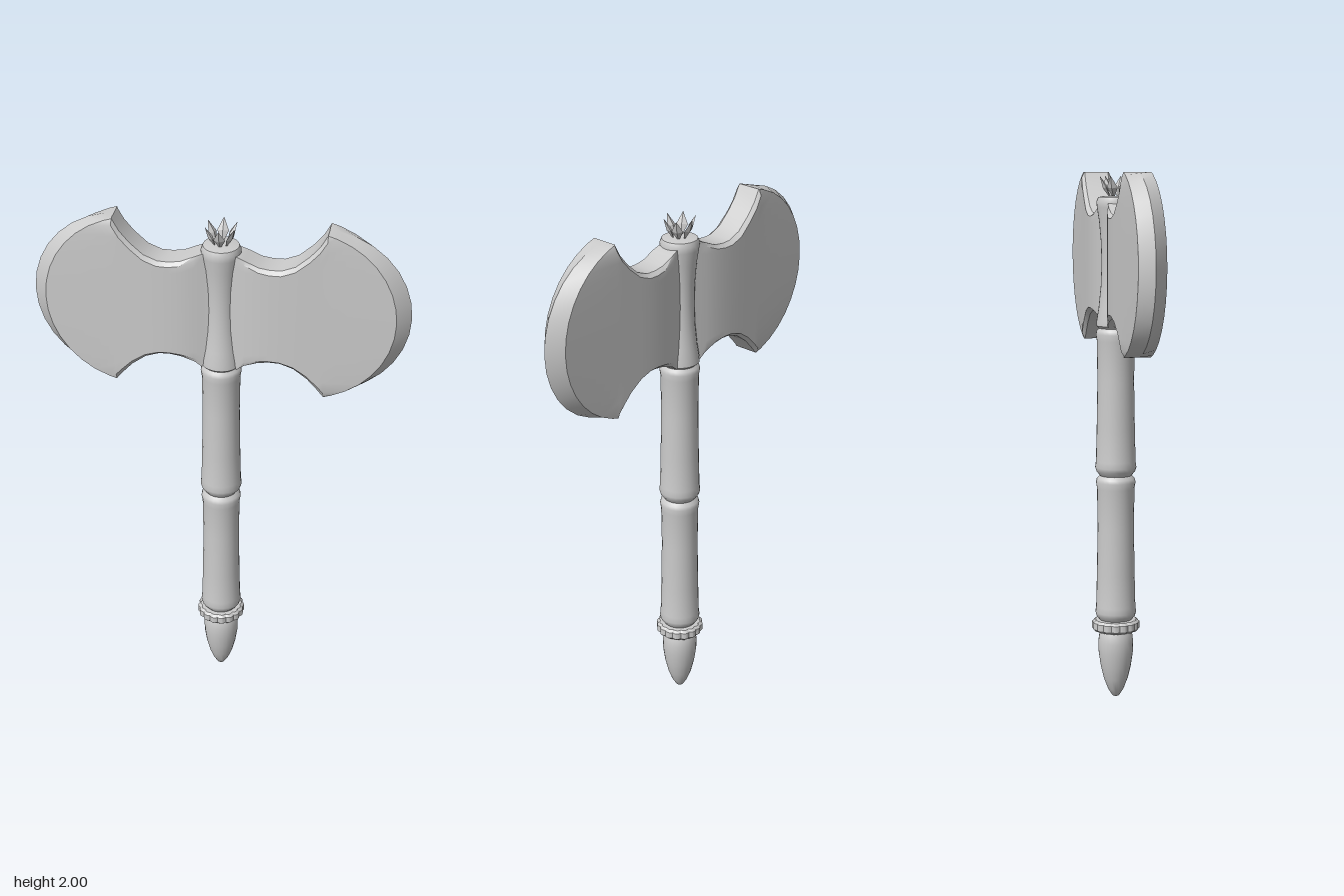
import * as THREE from 'three';
import { toCreasedNormals } from 'three/addons/utils/BufferGeometryUtils.js';

const material = new THREE.MeshStandardMaterial({ color: 0xcccccc });

function part(name, geometry, crease = 0.6) {
  const mesh = new THREE.Mesh(toCreasedNormals(geometry, crease), material);
  mesh.name = name;
  return mesh;
}

// Profile of [radius, height] pairs, bottom to top
function turned(profile, segments = 24) {
  return new THREE.LatheGeometry(profile.map(([r, y]) => new THREE.Vector2(r, y)), segments);
}

// Blade lofted outwards from the hub, ring by ring, ending in a sharp curved edge
function bladeGeometry() {
  const steps = 16, midY = 1.675;
  // Straight columns: x, bottom, top, half thickness
  const columns = [
    [0.03, 1.43, 1.89, 0.035], [0.065, 1.43, 1.885, 0.043], [0.09, 1.45, 1.875, 0.051],
    [0.14, 1.467, 1.853, 0.059], [0.18, 1.473, 1.847, 0.062], [0.22, 1.472, 1.848, 0.063],
    [0.27, 1.455, 1.868, 0.062], [0.32, 1.418, 1.913, 0.06], [0.355, 1.38, 1.955, 0.059],
    [0.38, 1.35, 2.0, 0.058],
  ];
  const sections = columns.map(([x, bottom, top, z]) => (v) => {
    const rim = Math.abs(v) === 1;
    return [x, (bottom + top) / 2 + v * (top - bottom) / 2, rim ? Math.min(z, 0.046) : z];
  });
  // Arcs through both tips: centre x, radius, half thickness
  const arc = (cx, r, z) => {
    const half = Math.asin(0.325 / r);
    return (v) => [cx + r * Math.cos(v * half), midY + r * Math.sin(v * half), z];
  };
  sections.push(arc(0.294, 0.336, 0.05), arc(0.354, 0.326, 0));

  const levels = Array.from({ length: steps + 1 }, (_, k) => {
    if (k === 0 || k === steps) return k ? 1 : -1;
    return -0.93 + 1.86 * (k - 1) / (steps - 2);
  });
  const positions = [], index = [], ring = 2 * levels.length;
  sections.forEach((at) => {
    levels.forEach((v) => positions.push(...at(v)));
    [...levels].reverse().forEach((v) => {
      const [x, y, z] = at(v);
      positions.push(x, y, -z);
    });
  });
  for (let i = 0; i < sections.length - 1; i++) {
    for (let j = 0; j < ring; j++) {
      const a = i * ring + j, b = i * ring + (j + 1) % ring;
      index.push(a, a + ring, b + ring, a, b + ring, b);
    }
  }
  const geometry = new THREE.BufferGeometry();
  geometry.setAttribute('position', new THREE.Float32BufferAttribute(positions, 3));
  geometry.setIndex(index);
  return geometry;
}

// Ring with a scalloped rim
function collarGeometry() {
  const geometry = turned([
    [0.05, 0.262], [0.08, 0.264], [0.09, 0.273], [0.09, 0.298], [0.08, 0.307], [0.05, 0.309],
  ], 96);
  const p = geometry.attributes.position;
  for (let i = 0; i < p.count; i++) {
    const x = p.getX(i), z = p.getZ(i);
    if (Math.hypot(x, z) < 0.06) continue;
    const s = 0.94 + 0.07 * Math.abs(Math.sin(8 * Math.atan2(z, x)));
    p.setX(i, x * s);
    p.setZ(i, z * s);
  }
  return geometry;
}

export function createModel() {
  const axe = new THREE.Group();
  axe.name = 'doubleAxe';

  // Pointed pommel
  axe.add(part('pommelSpike', turned([
    [0, 0], [0.014, 0.007], [0.03, 0.033], [0.046, 0.075], [0.058, 0.125],
    [0.066, 0.18], [0.067, 0.22], [0.063, 0.25], [0.055, 0.27], [0, 0.272],
  ])));
  axe.add(part('collar', collarGeometry()));

  // Two grip sections, narrow in the middle with swollen ends
  [['lowerGrip', 0.305, 0.865], ['upperGrip', 0.865, 1.425]].forEach(([name, a, b]) => {
    axe.add(part(name, turned([
      [0, a], [0.06, a], [0.074, a + 0.018], [0.078, a + 0.032], [0.075, a + 0.055],
      [0.072, a + 0.18], [0.069, a + 0.36], [0.071, b - 0.05],
      [0.075, b - 0.025], [0.072, b - 0.012], [0.06, b], [0, b],
    ])));
  });

  // Waisted socket holding the blades
  axe.add(part('socket', turned([
    [0, 1.42], [0.06, 1.42], [0.073, 1.432], [0.072, 1.45], [0.064, 1.5], [0.056, 1.58],
    [0.053, 1.66], [0.055, 1.74], [0.062, 1.82], [0.07, 1.87], [0.072, 1.892],
    [0.065, 1.908], [0.042, 1.912], [0, 1.912],
  ])));

  // Matching blades
  ['leftBlade', 'rightBlade'].forEach((name, k) => {
    const blade = part(name, bladeGeometry(), 0.5);
    blade.rotation.y = k * Math.PI;
    axe.add(blade);
  });

  // Crown of pointed leaves
  const crown = new THREE.Group();
  crown.name = 'crown';
  for (let k = 0; k < 6; k++) {
    const leaf = part('crownLeaf', new THREE.OctahedronGeometry(1), 0.1);
    leaf.scale.set(0.021, 0.047, 0.009);
    leaf.position.set(0, 1.944, 0.04);
    leaf.rotation.x = 0.45;
    const pivot = new THREE.Group();
    pivot.name = 'crownLeafPivot';
    pivot.rotation.y = k * Math.PI / 3;
    pivot.add(leaf);
    crown.add(pivot);
  }
  axe.add(crown);
  return axe;
}
